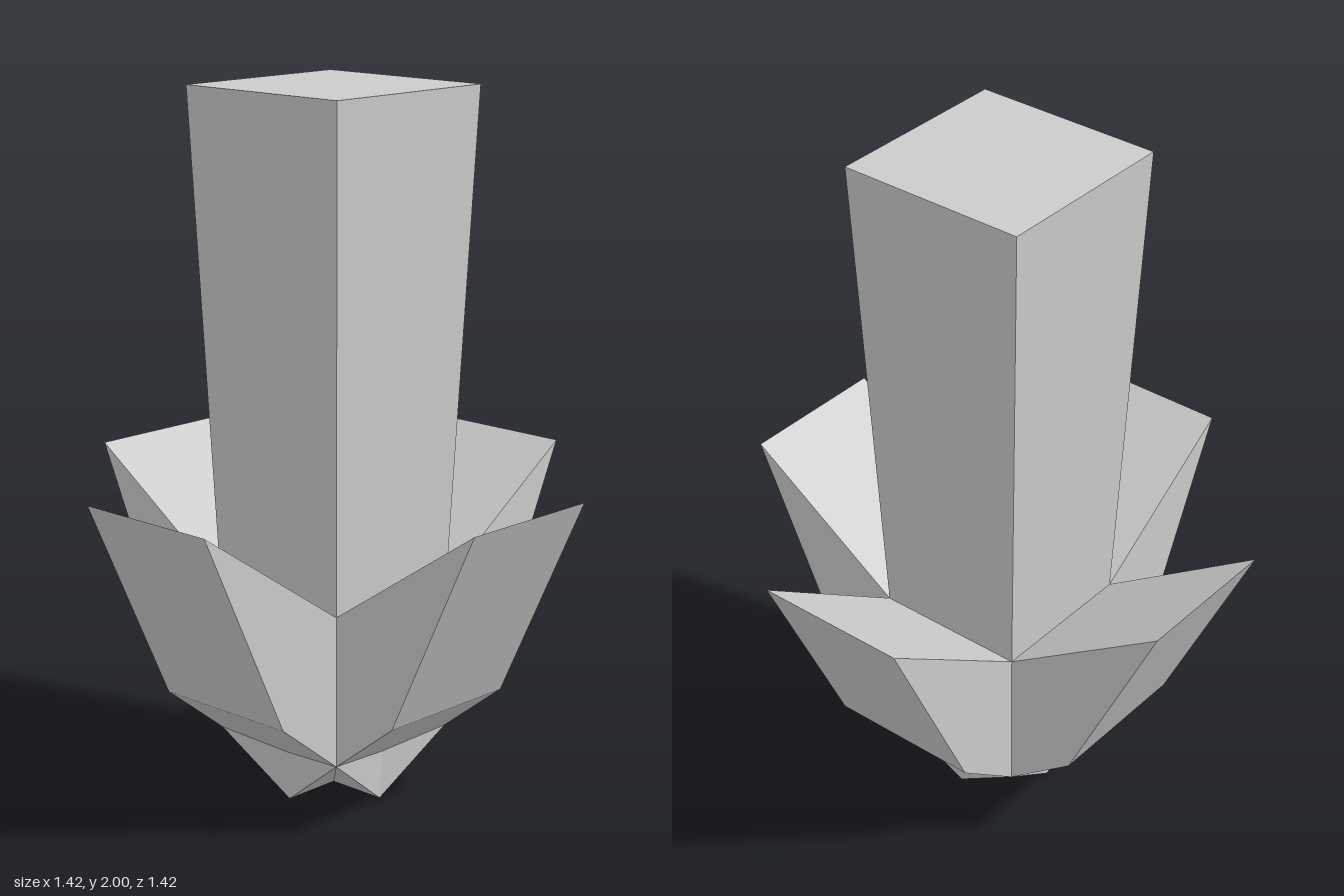
import * as THREE from 'three';

// Faceted geometry from convex polygons, corners counter-clockwise from outside
function facets(polygons) {
  const positions = [];
  for (const p of polygons) {
    for (let i = 1; i < p.length - 1; i++) positions.push(...p[0], ...p[i], ...p[i + 1]);
  }
  const geometry = new THREE.BufferGeometry();
  geometry.setAttribute('position', new THREE.Float32BufferAttribute(positions, 3));
  geometry.computeVertexNormals();
  return geometry;
}

export function createModel() {
  const material = new THREE.MeshStandardMaterial({ color: 0xcccccc, flatShading: true });
  const model = new THREE.Group();
  model.name = 'crystalCluster';

  const w = 0.225; // half width of the column foot and of each spur
  const pair = (y, z) => [[-w, y, z], [w, y, z]];

  // Square column, slightly wider at the top
  const columnGeometry = new THREE.CylinderGeometry(0.28 * Math.SQRT2, w * Math.SQRT2, 1.4, 4);
  columnGeometry.rotateY(Math.PI / 4);
  columnGeometry.translate(0, 1.3, 0);
  const column = new THREE.Mesh(columnGeometry, material);
  column.name = 'column';
  model.add(column);

  // Spur profile pairs (left, right), for the side facing +z
  const [rootL, rootR] = pair(0.17, w);
  const [elbowL, elbowR] = pair(0.33, 0.43);
  const [tipL, tipR] = pair(0.925, 0.71);
  const [neckL, neckR] = pair(0.6, w);
  const notch = [0, 0.144, 0.19];
  const spurGeometry = facets([
    [elbowL, elbowR, tipR, tipL], // outer face
    [tipL, tipR, neckR, neckL], // sloping top
    [rootR, neckR, tipR, elbowR], // sides
    [rootL, elbowL, tipL, neckL],
    [notch, rootR, elbowR, elbowL, rootL], // underside
  ]);

  // Pointed foot under each spur, folded in to the centre
  const toe = [0, 0, 0.18];
  const centre = [0, 0, 0];
  const footGeometry = facets([
    [toe, rootR, notch],
    [toe, notch, rootL],
    [centre, rootR, toe],
    [centre, toe, rootL],
  ]);

  ['front', 'left', 'back', 'right'].forEach((side, i) => {
    const quarter = new THREE.Group();
    quarter.name = side + 'Quarter';
    quarter.rotation.y = i * Math.PI / 2;
    const spur = new THREE.Mesh(spurGeometry, material);
    spur.name = side + 'Spur';
    const foot = new THREE.Mesh(footGeometry, material);
    foot.name = side + 'Foot';
    quarter.add(spur, foot);
    model.add(quarter);
  });

  return model;
}
